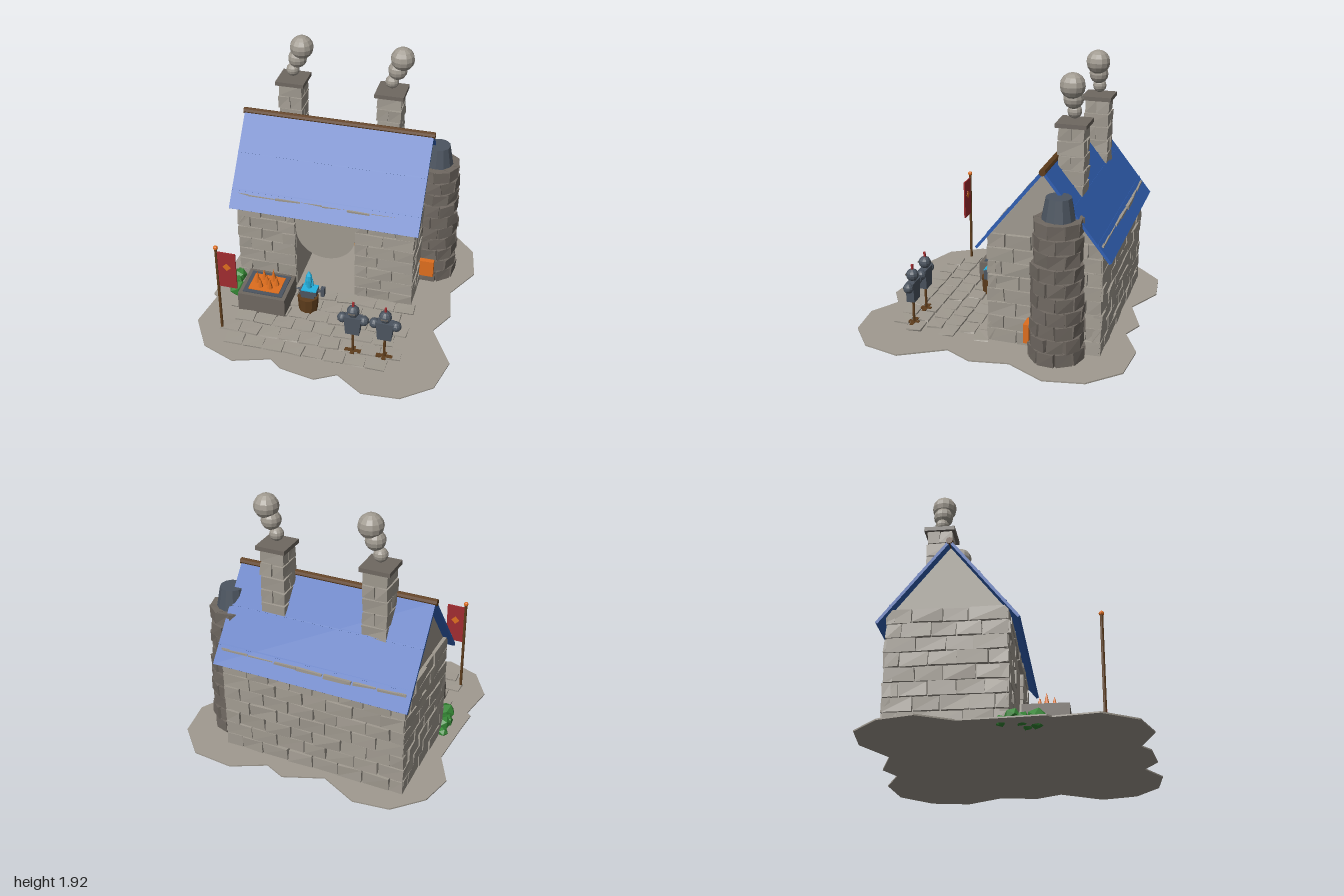
import * as THREE from 'three';
import { mergeGeometries } from 'three/addons/utils/BufferGeometryUtils.js';

const mat = (name, color) => Object.assign(new THREE.MeshStandardMaterial({ color }), { name });

export function createModel() {
  const root = new THREE.Group();
  root.name = 'smithy';
  const stone = mat('stone', 0xa09a90), darkStone = mat('dark stone', 0x6f6861);
  const blue = mat('roof blue', 0x305fb2), wood = mat('wood', 0x5e3d1c);
  const ember = mat('ember orange', 0xde6e1e), glow = mat('door glow', 0xd88a3e);
  const iron = mat('iron', 0x4c5560), red = mat('banner red', 0xa02c30);
  const green = mat('leaf green', 0x348534), cyan = mat('blue flame', 0x25b2e0);

  let seed = 7;
  const rnd = () => (seed = (seed * 16807) % 2147483647) / 2147483647;
  const jit = (a) => (rnd() - 0.5) * 2 * a;

  const add = (name, geo, material, x = 0, y = 0, z = 0, parent = root) => {
    const m = new THREE.Mesh(geo, material);
    m.name = name;
    m.position.set(x, y, z);
    parent.add(m);
    return m;
  };
  const flat = (g) => {
    const n = g.index ? g.toNonIndexed() : g;
    n.computeVertexNormals();
    return n;
  };
  const box = (w, h, d) => new THREE.BoxGeometry(w, h, d);
  const cyl = (a, b, h, n = 12) => flat(new THREE.CylinderGeometry(a, b, h, n));
  const ball = (r, n = 12, m = 8) => flat(new THREE.SphereGeometry(r, n, m));

  // Rough hewn block: a box with its eight corners nudged
  const block = (w, h, d, x, y, z, ry = 0, rough = 0.006) => {
    const g = box(w, h, d), p = g.attributes.position;
    const off = Array.from({ length: 8 }, () => [jit(rough), jit(rough * 0.6), jit(rough)]);
    for (let i = 0; i < p.count; i++) {
      const o = off[(p.getX(i) > 0) + 2 * (p.getY(i) > 0) + 4 * (p.getZ(i) > 0)];
      p.setXYZ(i, p.getX(i) + o[0], p.getY(i) + o[1], p.getZ(i) + o[2]);
    }
    return flat(g.rotateY(ry).translate(x, y, z));
  };

  // Ground plate with a scalloped outline
  const outline = [[-0.75, -0.95], [-0.49, -0.98], [-0.22, -0.84], [0.06, -0.95], [0.21, -0.88], [0.45, -1],
    [0.75, -0.97], [0.95, -0.76], [1, -0.48], [0.855, -0.21], [0.9, 0.06], [0.8, 0.25], [0.975, 0.56],
    [0.91, 0.82], [0.7, 0.98], [0.43, 1], [0.23, 0.87], [0.08, 0.955], [-0.18, 0.91], [-0.27, 0.84],
    [-0.535, 0.925], [-0.78, 0.83], [-0.925, 0.59], [-0.88, 0.3], [-0.915, 0.27], [-0.9, 0.08],
    [-0.88, -0.29], [-1, -0.52], [-0.94, -0.76]];
  const groundShape = new THREE.Shape(outline.map(([x, z]) => new THREE.Vector2(x, -z)));
  add('ground', new THREE.ExtrudeGeometry(groundShape, { depth: 0.01, bevelEnabled: false })
    .rotateX(-Math.PI / 2), stone, 0, 0.026, 0);

  // Paving slabs in staggered rows
  const slabs = [];
  for (let r = 0; r < 6; r++) {
    for (let i = 0; i < 9; i++) {
      const x = -0.66 + i * 0.152 + (r % 2) * 0.07;
      if (x < 0.62) slabs.push(block(0.138, 0.014, 0.108, x, 0.042, 0.075 + r * 0.127, jit(0.08), 0.004));
    }
  }
  add('paving', mergeGeometries(slabs), stone);

  // House core with a deep doorway under a drooping round lintel
  const core = new THREE.Shape();
  core.moveTo(-0.75, 0.03).lineTo(-0.32, 0.03).lineTo(-0.32, 0.58);
  core.absarc(-0.09, 0.58, 0.23, Math.PI, 2 * Math.PI, false);
  core.lineTo(0.14, 0.03).lineTo(0.565, 0.03).lineTo(0.565, 0.84).lineTo(-0.75, 0.84);
  add('wallCore', new THREE.ExtrudeGeometry(core, { depth: 0.76, bevelEnabled: false, curveSegments: 20 }),
    stone, 0, 0, -0.755);
  add('doorGlow', box(0.46, 0.6, 0.01), glow, -0.09, 0.33, -0.6);
  const gable = new THREE.Shape([[-0.75, 0.83], [0.01, 0.83], [-0.37, 1.31]].map((p) => new THREE.Vector2(...p)));
  add('gable', new THREE.ExtrudeGeometry(gable, { depth: 1.315, bevelEnabled: false })
    .rotateY(-Math.PI / 2), stone, 0.565, 0, 0);

  // Wall blocks, laid in eight staggered courses
  const bricks = [];
  const H = 0.102;
  const course = (from, to, y, shift, place) => {
    let a = from, first = true;
    while (a < to - 0.005) {
      let b = a + (first && shift ? 0.1 : 0.19 + jit(0.025));
      if (to - b < 0.07) b = to;
      place((a + b) / 2, y, b - a - 0.008);
      a = b;
      first = false;
    }
  };
  const along = (z) => (c, y, w) => bricks.push(block(w, H - 0.008, 0.06, c, y, z + jit(0.005)));
  const across = (x) => (c, y, w) => bricks.push(block(0.06, H - 0.008, w, x + jit(0.005), y, c));
  for (let r = 0; r < 8; r++) {
    const y = 0.035 + H * (r + 0.5), odd = r % 2;
    if (r < 7) {
      course(-0.775, -0.32, y, odd, along(0));
      course(0.14, 0.59, y, !odd, along(0));
    } else course(-0.775, 0.59, y, odd, along(0));
    course(-0.775, 0.59, y, !odd, along(-0.75));
    course(-0.775, 0.025, y, !odd, across(-0.745));
    course(-0.775, 0.025, y, odd, across(0.56));
  }
  add('wallBlocks', mergeGeometries(bricks), stone);

  // Roof slopes with lapped board edges, and a ridge beam
  const rise = 0.585, run = 0.465, slope = Math.hypot(rise, run), pitch = Math.atan2(rise, run);
  for (const s of [1, -1]) {
    const side = new THREE.Group();
    side.name = s > 0 ? 'frontRoof' : 'backRoof';
    side.position.set(-0.0925, 1.33 - rise / 2, -0.37 + s * run / 2);
    side.rotation.x = s * pitch;
    add('roofSlab', box(1.435, 0.02, slope), blue, 0, 0, 0, side);
    for (const t of [0.42, 0.8])
      add('roofLap', box(1.435, 0.008, 0.012), blue, 0, 0.01, s * (t - 0.5) * slope, side);
    root.add(side);
  }
  add('ridgeBeam', cyl(0.024, 0.024, 1.455, 8).rotateZ(Math.PI / 2), wood, -0.0925, 1.33, -0.37);

  // Chimneys with caps and smoke puffs
  for (const cx of [-0.465, 0.28]) {
    const ch = new THREE.Group();
    ch.name = 'chimney';
    ch.position.set(cx, 0, -0.49);
    const parts = [box(0.15, 0.62, 0.15).toNonIndexed().translate(0, 1.25, 0)];
    for (let r = 0; r < 6; r++) {
      const y = 1.02 + r * 0.1;
      for (const s of [-1, 1]) {
        if (r % 2) parts.push(block(0.172, 0.09, 0.085, 0, y, s * 0.046));
        else parts.push(block(0.085, 0.09, 0.18, s * 0.046, y, 0));
      }
    }
    add('chimneyStack', mergeGeometries(parts), stone, 0, 0, 0, ch);
    add('chimneyCap', box(0.215, 0.03, 0.215), darkStone, 0, 1.58, 0, ch);
    for (const [x, y, r] of [[0, 1.66, 0.05], [0.037, 1.755, 0.07], [0.07, 1.848, 0.087]])
      add('smokePuff', ball(r), stone, x, y, 0, ch);
    root.add(ch);
  }

  // Round furnace tower
  const tower = new THREE.Group();
  tower.name = 'furnaceTower';
  tower.position.set(0.65, 0, -0.487);
  add('towerCore', cyl(0.135, 0.16, 1, 16), darkStone, 0, 0.53, 0, tower);
  const ring = [];
  for (let r = 0; r < 10; r++) {
    for (let i = 0; i < 9; i++) {
      const a = ((i + (r % 2) / 2) / 9) * Math.PI * 2, rad = 0.155 - r * 0.0028 + jit(0.006);
      ring.push(block(0.116, 0.093, 0.06, Math.sin(a) * rad, 0.085 + r * 0.1005, Math.cos(a) * rad, a));
    }
  }
  add('towerBlocks', mergeGeometries(ring), darkStone, 0, 0, 0, tower);
  add('towerFlue', cyl(0.086, 0.115, 0.15, 12), iron, 0, 1.11, 0, tower);
  add('furnaceMouth', box(0.11, 0.14, 0.04), ember, -0.005, 0.185, 0.205, tower);
  root.add(tower);

  // Hearth with coals and flames
  const hearth = new THREE.Group();
  hearth.name = 'hearth';
  hearth.position.set(-0.484, 0, 0.248);
  add('hearthBase', box(0.365, 0.165, 0.305), darkStone, 0, 0.117, 0, hearth);
  add('hearthRim', box(0.306, 0.008, 0.247), iron, 0, 0.203, 0, hearth);
  add('coalBed', box(0.24, 0.008, 0.185), ember, 0, 0.208, 0, hearth);
  for (let i = 0; i < 7; i++) {
    const a = (i / 6) * Math.PI * 2, k = i < 6 ? 1 : 0, h = 0.09 + (i % 2) * 0.015;
    add('flame', flat(new THREE.ConeGeometry(0.023, h, 6)), ember,
      k * Math.cos(a) * 0.075, 0.21 + h / 2, k * Math.sin(a) * 0.055, hearth);
  }
  root.add(hearth);

  // Anvil on a stump, with a blue flame
  const anvil = new THREE.Group();
  anvil.name = 'anvil';
  anvil.position.set(-0.155, 0, 0.25);
  add('stump', cyl(0.08, 0.072, 0.13, 10), wood, -0.005, 0.1, 0, anvil);
  add('anvilFoot', box(0.1, 0.03, 0.07), iron, 0, 0.178, 0, anvil);
  add('anvilTop', box(0.13, 0.04, 0.08), iron, 0.005, 0.215, 0, anvil);
  add('anvilHorn', flat(new THREE.ConeGeometry(0.018, 0.06, 8)).rotateZ(Math.PI / 2), iron, -0.075, 0.218, 0, anvil);
  add('hammerHandle', box(0.06, 0.014, 0.014), iron, 0.085, 0.225, 0, anvil);
  add('hammerHead', box(0.028, 0.07, 0.04), iron, 0.11, 0.225, 0, anvil);
  add('hotPlate', box(0.115, 0.008, 0.085), cyan, 0.01, 0.239, 0, anvil);
  const flame = [[0, 0.24], [0.02, 0.25], [0.026, 0.32], [0.022, 0.36], [0, 0.402]].map((p) => new THREE.Vector2(...p));
  add('blueFlame', flat(new THREE.LatheGeometry(flame, 8)), cyan, 0.005, 0, 0, anvil);
  for (const s of [-1, 1])
    add('smallFlame', flat(new THREE.ConeGeometry(0.013, 0.075, 6)), cyan, 0.005 + s * 0.025, 0.308, 0, anvil);
  root.add(anvil);

  // Armour stands
  for (const x of [0.28, 0.512]) {
    const st = new THREE.Group();
    st.name = 'armourStand';
    st.position.set(x, 0, 0.62);
    add('standFoot', box(0.12, 0.014, 0.03), wood, 0, 0.047, 0, st);
    add('standFoot', box(0.03, 0.014, 0.08), wood, 0, 0.047, 0, st);
    add('post', cyl(0.01, 0.01, 0.35, 6), wood, 0, 0.21, 0, st);
    const torso = box(0.125, 0.15, 0.06), p = torso.attributes.position;
    for (let i = 0; i < p.count; i++) if (p.getY(i) < 0) p.setX(i, p.getX(i) * 0.8);
    add('breastplate', flat(torso), iron, 0, 0.302, 0, st);
    add('collar', cyl(0.022, 0.03, 0.03, 8), iron, 0, 0.385, 0, st);
    for (const s of [-1, 1]) add('pauldron', ball(0.038, 10, 8), iron, s * 0.078, 0.35, 0, st);
    add('helmet', ball(0.046, 10, 8), iron, 0, 0.422, 0, st);
    add('visor', box(0.05, 0.008, 0.008), darkStone, 0, 0.425, 0.042, st);
    add('plume', box(0.014, 0.045, 0.014), red, 0, 0.479, 0, st);
    root.add(st);
  }

  // Banner on a pole
  const banner = new THREE.Group();
  banner.name = 'banner';
  banner.position.set(-0.718, 0, 0.62);
  add('bannerPole', cyl(0.011, 0.011, 0.74, 8), wood, 0, 0.405, 0, banner);
  add('poleKnob', ball(0.018, 8, 6), ember, 0, 0.783, 0, banner);
  add('cloth', box(0.14, 0.305, 0.01), red, 0.073, 0.598, 0, banner);
  add('diamond', box(0.045, 0.045, 0.016).rotateZ(Math.PI / 4), ember, 0.075, 0.628, 0, banner);
  root.add(banner);

  // Shrubs by the corner
  for (const [x, y, z, r] of [[-0.742, 0.072, 0.2, 0.07], [-0.78, 0.06, 0.11, 0.05], [-0.775, 0.08, 0.05, 0.055],
    [-0.795, 0.045, -0.02, 0.04], [-0.715, 0.045, 0.14, 0.04]]) {
    add('shrub', new THREE.IcosahedronGeometry(r, 0).rotateY(x * 40 + z * 9), green, x, y, z);
  }
  return root;
}
